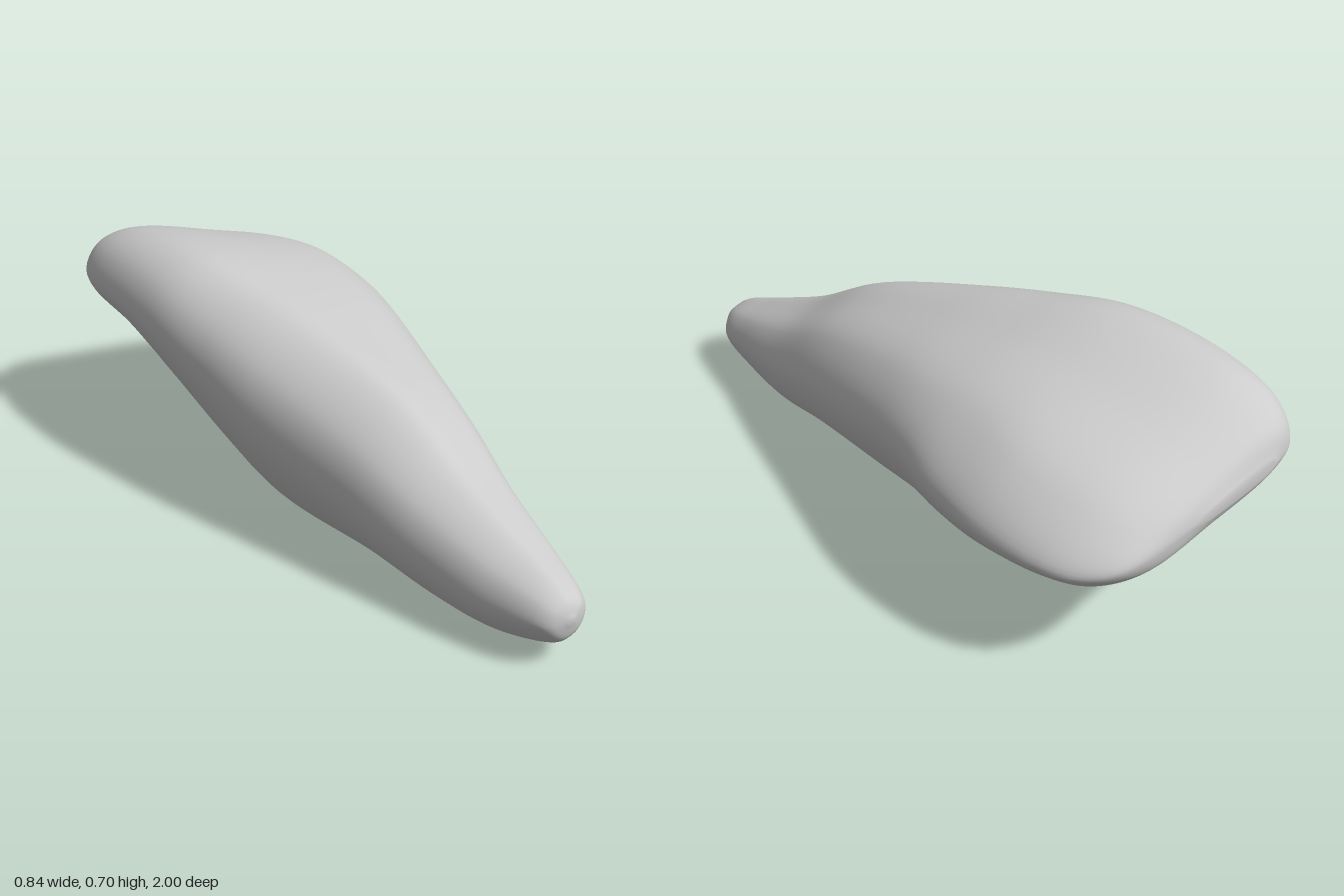
import * as THREE from 'three';

// Upper half of each cross-section: z, then x,y of left edge, ridge, shoulder, right edge
const upper = [
  [1.0, 0.025, 0.15, 0.035, 0.16, 0.045, 0.155, 0.045, 0.15],
  [0.985, -0.02, 0.14, 0.025, 0.195, 0.075, 0.18, 0.085, 0.14],
  [0.95, -0.05, 0.14, 0.02, 0.225, 0.095, 0.195, 0.12, 0.14],
  [0.8, -0.11, 0.14, 0.0, 0.285, 0.12, 0.24, 0.155, 0.16],
  [0.6, -0.165, 0.17, -0.025, 0.37, 0.14, 0.305, 0.19, 0.19],
  [0.35, -0.23, 0.23, -0.06, 0.51, 0.165, 0.415, 0.235, 0.27],
  [0.0, -0.33, 0.34, -0.145, 0.615, 0.205, 0.51, 0.3, 0.36],
  [-0.2, -0.37, 0.41, -0.2, 0.66, 0.235, 0.545, 0.345, 0.39],
  [-0.4, -0.405, 0.48, -0.25, 0.695, 0.25, 0.565, 0.4, 0.39],
  [-0.6, -0.42, 0.515, -0.265, 0.695, 0.28, 0.55, 0.42, 0.38],
  [-0.8, -0.415, 0.51, -0.275, 0.665, 0.26, 0.515, 0.395, 0.37],
  [-0.9, -0.39, 0.51, -0.28, 0.625, 0.23, 0.485, 0.345, 0.37],
  [-0.97, -0.34, 0.49, -0.27, 0.57, 0.16, 0.46, 0.26, 0.39],
  [-1.0, -0.25, 0.485, -0.22, 0.5, 0.0, 0.455, 0.02, 0.44],
];

// Lower half: x,y of lower right, keel, lower left (hollow toward the back)
const lower = [
  [0.045, 0.145, 0.035, 0.14, 0.025, 0.145],
  [0.07, 0.105, 0.03, 0.09, 0.0, 0.105],
  [0.09, 0.08, 0.03, 0.06, -0.01, 0.08],
  [0.115, 0.06, 0.02, 0.015, -0.06, 0.05],
  [0.145, 0.065, 0.0, 0.005, -0.1, 0.05],
  [0.185, 0.12, -0.02, 0.003, -0.15, 0.08],
  [0.235, 0.172, -0.04, 0.003, -0.21, 0.09],
  [0.265, 0.205, -0.05, 0.04, -0.235, 0.15],
  [0.305, 0.24, -0.05, 0.145, -0.27, 0.26],
  [0.335, 0.28, -0.04, 0.275, -0.3, 0.37],
  [0.3, 0.3, -0.02, 0.345, -0.31, 0.41],
  [0.26, 0.31, -0.02, 0.36, -0.29, 0.42],
  [0.19, 0.35, -0.03, 0.38, -0.26, 0.43],
  [0.0, 0.435, -0.05, 0.435, -0.22, 0.465],
];

// Point between two outline points, pushed outward by a share of their distance
function bulged(x1, y1, x2, y2, amount) {
  return [(x1 + x2) / 2 - (y2 - y1) * amount, (y1 + y2) / 2 + (x2 - x1) * amount];
}

// Full outline of one section: rounded left flank, flatter slope right of the ridge
function sectionPoints(row, i) {
  const [z, lx, ly, tx, ty, sx, sy, rx, ry] = row;
  const flank = bulged(lx, ly, tx, ty, 0.2);
  const slope = bulged(tx, ty, sx, sy, 0.055 + 0.03 * z);
  const xy = [lx, ly, ...flank, tx, ty, ...slope, sx, sy, rx, ry, ...lower[i]];
  const points = [];
  for (let k = 0; k < xy.length; k += 2) points.push(new THREE.Vector3(xy[k], xy[k + 1], z));
  return points;
}

// Smooth skin lofted through the cross-sections, closed at both ends
function loftGeometry(steps, sides) {
  const sections = upper.map(sectionPoints);
  const rails = sections[0].map((_, k) => new THREE.CatmullRomCurve3(sections.map((s) => s[k])));
  const positions = [];
  const index = [];
  const centers = [];
  for (let i = 0; i <= steps; i++) {
    const ring = new THREE.CatmullRomCurve3(rails.map((rail) => rail.getPoint(i / steps)), true);
    const center = new THREE.Vector3();
    for (let j = 0; j < sides; j++) {
      const p = ring.getPoint(j / sides);
      positions.push(p.x, Math.max(p.y, 0), p.z);
      center.addScaledVector(p, 1 / sides);
    }
    centers.push(center);
  }
  for (let i = 0; i < steps; i++) {
    for (let j = 0; j < sides; j++) {
      const a = i * sides + j;
      const b = i * sides + ((j + 1) % sides);
      index.push(a, b, a + sides, b, b + sides, a + sides);
    }
  }
  // End caps
  const front = (steps + 1) * sides;
  positions.push(...centers[0].toArray(), ...centers[steps].toArray());
  for (let j = 0; j < sides; j++) {
    const n = (j + 1) % sides;
    index.push(front, n, j);
    index.push(front + 1, steps * sides + j, steps * sides + n);
  }
  const geometry = new THREE.BufferGeometry();
  geometry.setAttribute('position', new THREE.Float32BufferAttribute(positions, 3));
  geometry.setIndex(index);
  geometry.computeVertexNormals();
  return geometry;
}

export function createModel() {
  const model = new THREE.Group();
  model.name = 'taperedOrganicForm';
  const grey = new THREE.MeshStandardMaterial({ color: 0xcccccc });
  grey.name = 'lightGrey';
  const body = new THREE.Mesh(loftGeometry(104, 90), grey);
  body.name = 'body';
  model.add(body);
  return model;
}
